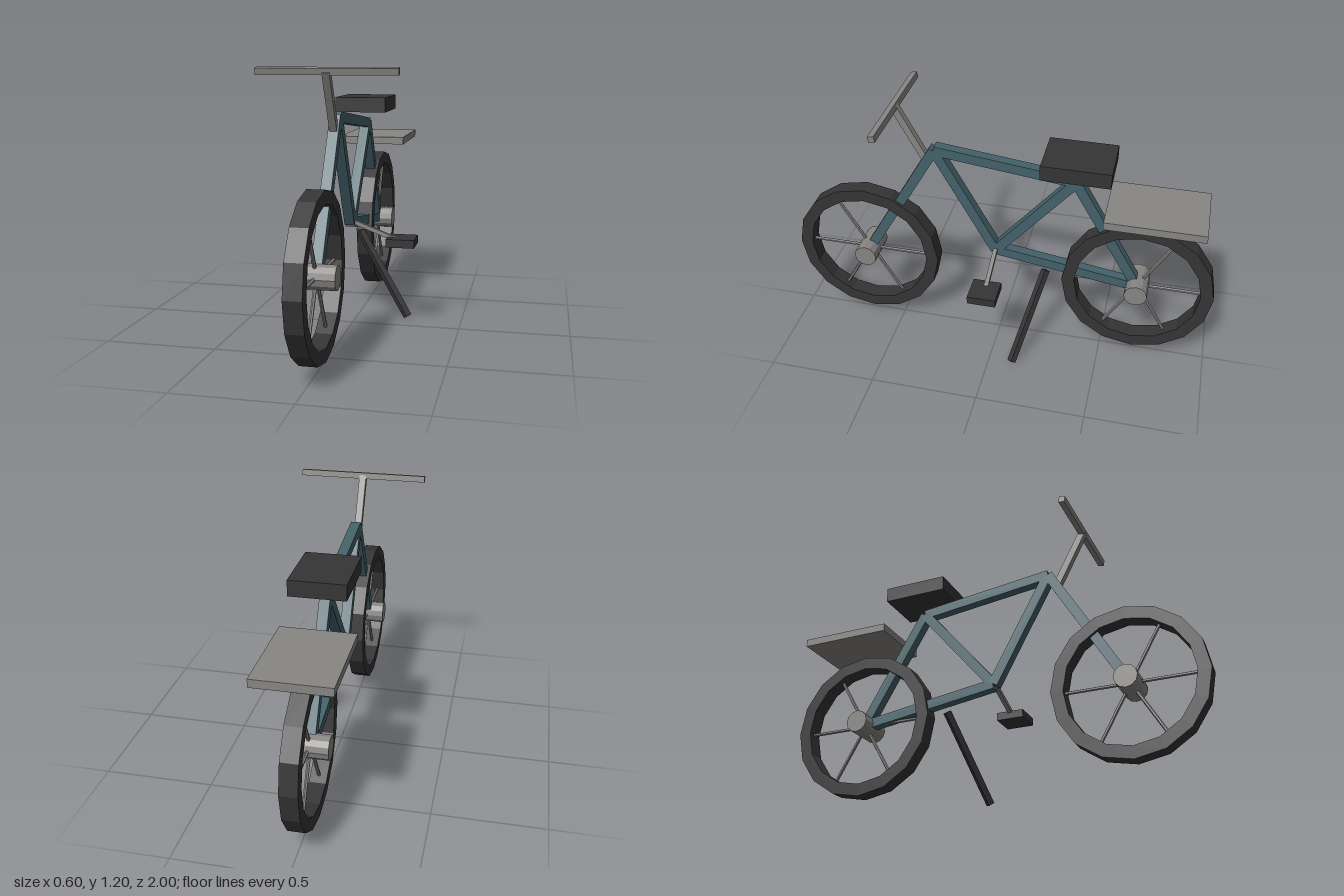
import * as THREE from 'three';

const paint = (name, color) => {
  const m = new THREE.MeshStandardMaterial({ color, flatShading: true });
  m.name = name;
  return m;
};

export function createModel() {
  const teal = paint('teal frame paint', 0x44626a);
  const grey = paint('grey metal', 0x888683);
  const black = paint('black rubber', 0x353535);

  const bike = new THREE.Group();
  bike.name = 'bicycle';
  const MID = -0.007; // x of the frame plane
  const V = (x, y, z) => new THREE.Vector3(x, y, z);

  const add = (name, geometry, material, parent = bike) => {
    const mesh = new THREE.Mesh(geometry, material);
    mesh.name = name;
    parent.add(mesh);
    return mesh;
  };

  // Axis-aligned box given by its centre and size
  const box = (name, material, centre, size) => {
    const mesh = add(name, new THREE.BoxGeometry(...size), material);
    mesh.position.set(...centre);
    return mesh;
  };

  // Square bar running between two points
  const bar = (name, material, a, b, width, parent = bike) => {
    const dir = b.clone().sub(a);
    const mesh = add(name, new THREE.BoxGeometry(width, dir.length(), width), material, parent);
    mesh.position.copy(a).lerp(b, 0.5);
    mesh.quaternion.setFromUnitVectors(V(0, 1, 0), dir.normalize());
    return mesh;
  };

  // Frame joints
  const head = V(MID, 0.99, 0.3);
  const seatNode = V(MID, 0.915, -0.34);
  const crankNode = V(MID, 0.485, 0.02);
  const frontAxle = V(MID, 0.385, 0.65);
  const rearAxle = V(MID, 0.385, -0.65);

  // Frame tubes
  [
    ['fork', head, frontAxle],
    ['topTube', head, seatNode],
    ['downTube', head, crankNode],
    ['seatTube', seatNode, crankNode],
    ['seatStay', seatNode, rearAxle],
    ['chainStay', crankNode, rearAxle],
  ].forEach(([name, a, b]) => bar(name, teal, a, b, 0.046));

  // Wheels: sixteen-sided tyre, hub and six spokes
  const tyreProfile = [[0.292, -0.038], [0.35, -0.038], [0.35, 0.038], [0.292, 0.038], [0.292, -0.038]]
    .map(([r, y]) => new THREE.Vector2(r, y));
  const wheel = (name, axle) => {
    const group = new THREE.Group();
    group.name = name;
    group.position.copy(axle);
    bike.add(group);
    add('tyre', new THREE.LatheGeometry(tyreProfile, 16).rotateZ(Math.PI / 2), black, group);
    add('hub', new THREE.CylinderGeometry(0.053, 0.053, 0.175, 12).rotateZ(Math.PI / 2), grey, group);
    for (let i = 0; i < 6; i++) {
      const spoke = add('spoke', new THREE.CylinderGeometry(0.008, 0.008, 0.3, 6).translate(0, 0.15, 0), grey, group);
      spoke.rotation.x = Math.PI / 2 + (i * Math.PI) / 3;
    }
  };
  wheel('frontWheel', frontAxle);
  wheel('rearWheel', rearAxle);

  // Steering
  bar('stem', grey, V(MID, 0.942, 0.345), V(MID, 1.186, 0.475), 0.032);
  const handlebar = box('handlebar', grey, [MID, 1.186, 0.473], [0.592, 0.028, 0.028]);
  handlebar.rotation.x = 0.2;

  // Saddle and luggage rack
  box('saddle', black, [MID, 1.01, -0.348], [0.242, 0.07, 0.305]);
  box('rack', grey, [MID, 0.812, -0.702], [0.326, 0.036, 0.438]);

  // Crank and pedal on the left side
  bar('crank', grey, V(MID, 0.493, 0.02), V(0.203, 0.413, 0.02), 0.019);
  box('pedal', black, [0.234, 0.405, 0.021], [0.13, 0.037, 0.13]);

  // Kickstand
  bar('kickstand', black, V(MID, 0.392, -0.218), V(0.245, 0.009, -0.111), 0.029);

  return bike;
}
